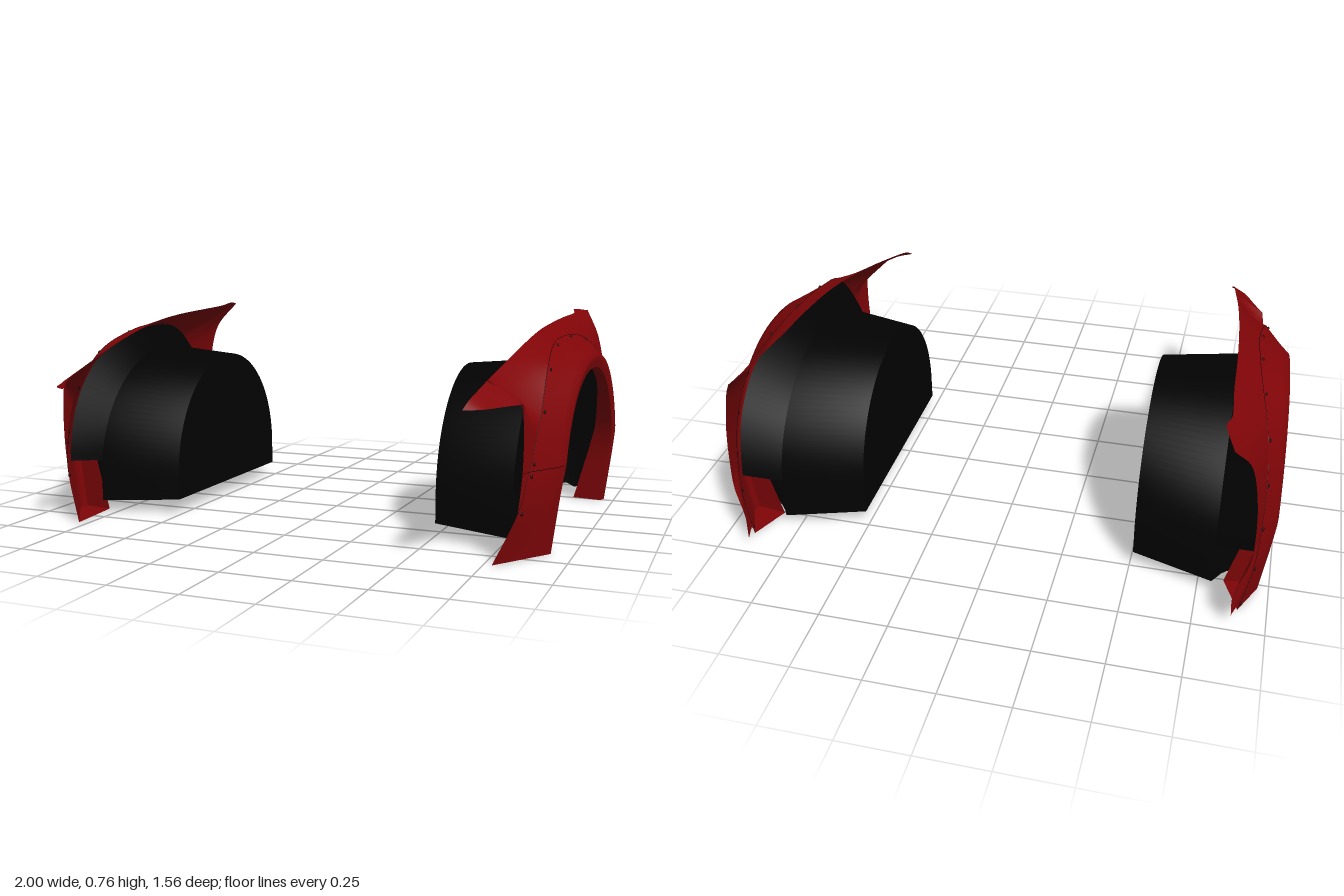
import * as THREE from 'three';
import { mergeGeometries, mergeVertices } from 'three/addons/utils/BufferGeometryUtils.js';

const V = (x, y, z) => new THREE.Vector3(x, y, z);
const paint = new THREE.MeshStandardMaterial({ color: 0x800508, side: THREE.DoubleSide });
const black = new THREE.MeshStandardMaterial({ color: 0x020202, side: THREE.DoubleSide });
const dark = new THREE.MeshStandardMaterial({ color: 0x140304 });

// All curves run over t = 0..12, from the front foot over the wheel to the rear foot.
const T = 12;

// Arch outline: straight legs (first and last step) joined by a half ellipse;
// a power below 1 squares its shoulders
function arch(cz, half, bottom, top, xAt, power = 0.93) {
  const legTop = 0.15;
  return t => {
    let z, y;
    if (t <= 1 || t >= T - 1) {
      const k = t <= 1 ? t : T - t;
      z = cz + (t <= 1 ? half : -half);
      y = bottom + (legTop - bottom) * k;
    } else {
      const a = (t - 1) / (T - 2) * Math.PI, c = Math.cos(a);
      z = cz + half * Math.sign(c) * Math.abs(c) ** power;
      y = legTop + (top - legTop) * Math.sin(a) ** power;
    }
    return V(xAt(z, y), y, z);
  };
}

// Smooth curve through points given as [z, y, x], mapped to t = a..b
function spline(points, a, b) {
  const c = new THREE.CatmullRomCurve3(points.map(([z, y, x]) => V(x, y, z)), false, 'catmullrom', 0.5);
  return t => c.getPoint((t - a) / (b - a));
}

// Surface spanned between successive curves
function loft(curves, a, b, side, rows = 1, steps = 72) {
  const pos = [], idx = [], n = steps + 1;
  const count = (curves.length - 1) * rows;
  for (let r = 0; r <= count; r++) {
    const c = Math.min(Math.floor(r / rows), curves.length - 2);
    const k = r / rows - c;
    for (let i = 0; i <= steps; i++) {
      const t = a + (b - a) * i / steps;
      const p = curves[c](t).lerp(curves[c + 1](t), k);
      pos.push(p.x * side, p.y, p.z);
    }
  }
  for (let r = 0; r < count; r++) {
    for (let i = 0; i < steps; i++) {
      const p = r * n + i, q = p + 1, u = p + n, w = u + 1;
      if (side > 0) idx.push(p, q, u, q, w, u);
      else idx.push(p, u, q, q, u, w);
    }
  }
  const g = new THREE.BufferGeometry();
  g.setAttribute('position', new THREE.Float32BufferAttribute(pos, 3));
  g.setIndex(idx);
  g.computeVertexNormals();
  return g;
}

// Flare curves, from the inside of the lip out to the seam
const crown = (z, y) => 0.98 - 0.038 * z - 0.04 * Math.max(0, (0.3 - y) / 0.3);
const returnDepth = y => 0.12 - 0.07 * Math.min(1, y / 0.5);
const lipInner = arch(-0.065, 0.44, 0.005, 0.595, (z, y) => crown(z, y) - returnDepth(y));
const opening = arch(-0.065, 0.425, 0.005, 0.585, (z, y) => crown(z, y) - 0.008);
const crest = arch(-0.06, 0.46, 0.005, 0.632, crown);
const seam = spline([
  [0.62, 0.008, 0.78], [0.575, 0.17, 0.85], [0.54, 0.3, 0.875], [0.45, 0.47, 0.89],
  [0.3, 0.615, 0.88], [0.1, 0.683, 0.862], [-0.1, 0.698, 0.872], [-0.28, 0.68, 0.895],
  [-0.44, 0.62, 0.925], [-0.54, 0.5, 0.943], [-0.6, 0.35, 0.945], [-0.63, 0.18, 0.935],
  [-0.645, 0.005, 0.9]], 0, T);

// Outer boundary of the body panel
const frontEdge = spline([
  [0.575, 0.17, 0.85], [0.575, 0.29, 0.862], [0.575, 0.41, 0.865], [0.575, 0.525, 0.86]], 1, 2.6);
const noseRoot = spline([[0.575, 0.525, 0.86], [0.575, 0.598, 0.745]], 2.6, 3);
const topEdge = spline([
  [0.575, 0.598, 0.745], [0.4, 0.642, 0.762], [0.2, 0.686, 0.777], [0, 0.72, 0.788], [-0.2, 0.737, 0.796],
  [-0.4, 0.746, 0.8], [-0.58, 0.753, 0.808], [-0.66, 0.765, 0.795], [-0.78, 0.755, 0.83]], 3, 8);
const rearEdge = spline([
  [-0.78, 0.755, 0.83], [-0.705, 0.65, 0.89], [-0.69, 0.5, 0.92], [-0.69, 0.35, 0.928],
  [-0.7, 0.25, 0.92], [-0.727, 0.15, 0.88], [-0.727, 0.06, 0.88], [-0.718, 0.05, 0.883],
  [-0.645, 0.05, 0.905]], 8, T);
const noseTop = spline([
  [0.575, 0.598, 0.745], [0.66, 0.575, 0.737], [0.735, 0.552, 0.728], [0.78, 0.525, 0.718]], 0, 1);
const noseLower = spline([
  [0.575, 0.525, 0.86], [0.64, 0.525, 0.825], [0.735, 0.525, 0.775], [0.78, 0.525, 0.718]], 0, 1);

// Wheel liner curves, from the lip in to the closed inner wall
const linerMouth = arch(-0.07, 0.5, 0.05, 0.61, () => 0.8, 1);
const linerEnd = arch(-0.07, 0.42, 0.06, 0.585, () => 0.51, 1);
const linerFloor = t => linerEnd(t).setY(0.06);
const linerLip = t => { const p = lipInner(t); return p.setY(Math.max(p.y, 0.05)); };
const linerRim = t => seam(t).lerp(crest(t), 0.06).add(V(-0.015, 0, 0));

function fender(side) {
  const group = new THREE.Group();
  group.name = side > 0 ? 'leftFender' : 'rightFender';
  const add = (name, geometry, material) => {
    const mesh = new THREE.Mesh(geometry, material);
    mesh.name = name;
    group.add(mesh);
    return mesh;
  };
  const line = (name, points) => add(name, new THREE.TubeGeometry(
    new THREE.CatmullRomCurve3(points.map(p => V(p.x * side, p.y, p.z))), points.length * 2, 0.001, 5), dark);
  // Joins neighbouring surfaces into one smooth skin
  const smooth = parts => {
    const g = mergeVertices(mergeGeometries(parts.map(p => p.deleteAttribute('normal'))), 1e-4);
    g.computeVertexNormals();
    return g;
  };

  // Wheel arch flare
  add('archReturn', loft([lipInner, opening], 0, T, side), paint);
  add('archFlare', smooth([
    loft([opening, crest], 0, T, side, 2),
    loft([crest, seam], 0, T, side, 4),
  ]), paint);

  // Closed feet of the flare
  for (const [name, t] of [['frontFoot', 0], ['rearFoot', T]]) {
    const inner = k => lipInner(t).lerp(opening(t), k);
    const outer = k => seam(t).lerp(crest(t), k);
    add(name, loft([inner, outer], 0, 1, side, 1, 1), paint);
  }

  // Body panel around the flare, with its pointed nose
  add('bodyPanel', smooth([
    loft([seam, frontEdge], 1, 2.6, side, 4, 20),
    loft([seam, noseRoot], 2.6, 3, side, 4, 4),
    loft([seam, topEdge], 3, 8, side, 4, 48),
    loft([seam, rearEdge], 8, T, side, 4, 48),
    loft([noseLower, noseTop], 0, 1, side, 4, 20),
  ]), paint);

  // Wheel liner, with a skirt that closes it against the panel
  add('linerShell', loft([linerLip, linerMouth, linerEnd], 0, T, side), black);
  add('linerSkirt', loft([linerRim, linerMouth], 1.4, 10.6, side), black);
  add('linerInnerWall', loft([linerEnd, linerFloor], 0, T, side), black);

  // Panel gaps
  line('flareSeam', Array.from({ length: 45 }, (_, i) => seam(1 + i / 4)));
  line('frontPanelGap', [opening(2.1), crest(2), seam(2), V(0.863, 0.3, 0.575)].map(p => p.setY(0.303)));

  // Rivets just inside the seam
  for (const t of [1, 1.9, 2.15, 3.1, 4, 5, 6, 7.1, 8.2, 9.15, 10.1, 11, 11.9]) {
    const p = seam(t).lerp(crest(t), 0.1);
    const rivet = add('rivet', new THREE.SphereGeometry(0.007, 10, 6), dark);
    rivet.position.set(p.x * side, p.y, p.z);
    rivet.scale.x = 0.6;
  }
  return group;
}

export function createModel() {
  const model = new THREE.Group();
  model.name = 'fenderPair';
  model.add(fender(1), fender(-1));
  return model;
}
